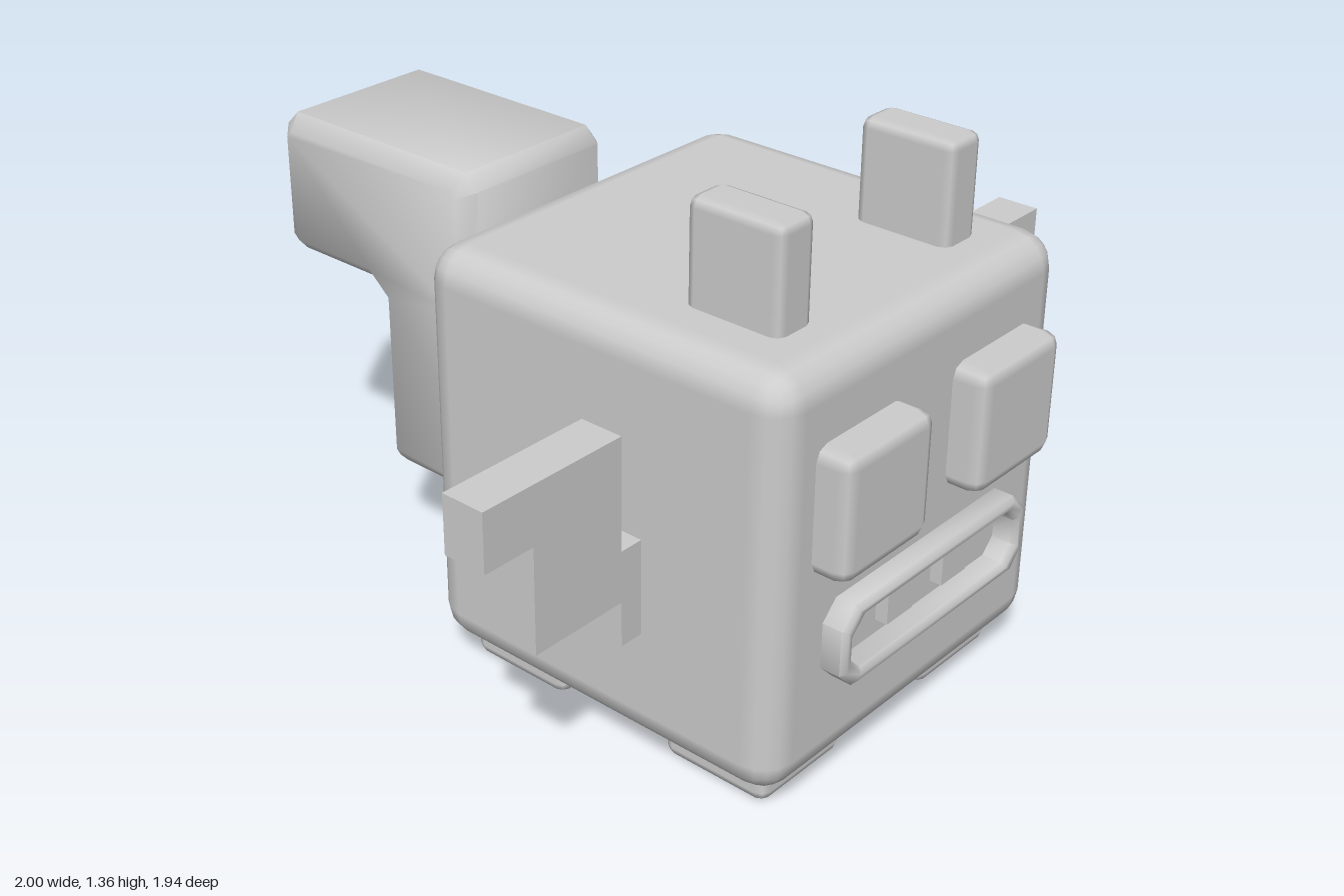
import * as THREE from 'three';
import { toCreasedNormals } from 'three/addons/utils/BufferGeometryUtils.js';
import { RoundedBoxGeometry } from 'three/addons/geometries/RoundedBoxGeometry.js';

const CX = -0.01; // the body sits slightly off the wing centre

export function createModel() {
  const model = new THREE.Group();
  const grey = new THREE.MeshStandardMaterial({ color: 0xcccccc });
  grey.name = 'plain grey';

  const add = (name, geometry, x = 0, y = 0, z = 0) => {
    const mesh = new THREE.Mesh(geometry, grey);
    mesh.name = name;
    mesh.position.set(x, y, z);
    model.add(mesh);
    return mesh;
  };
  const rounded = (w, h, d, r, segments = 1) => new RoundedBoxGeometry(w, h, d, segments, r);
  const toPoints = (list) => list.map(([x, y]) => new THREE.Vector2(x, y));

  // Rounded cube body
  add('body', rounded(1.04, 1.04, 1.04, 0.085, 2), CX, 0.588, 0.363);

  for (const [s, side] of [[1, 'left'], [-1, 'right']]) {
    // Upright ears, raised eyes and four flat feet
    add(side + 'Ear', rounded(0.117, 0.34, 0.255, 0.025), CX + s * 0.3, 1.19, 0.617);
    add(side + 'Eye', rounded(0.31, 0.31, 0.16, 0.035), CX + s * 0.245, 0.77, 0.89);
    add(side + 'FrontFoot', rounded(0.295, 0.08, 0.295, 0.028), CX + s * 0.3, 0.04, 0.667);
    add(side + 'BackFoot', rounded(0.295, 0.08, 0.295, 0.028), CX + s * 0.3, 0.04, 0.057);

    // Square teeth hanging in the mouth
    add(side + 'Tooth', new THREE.BoxGeometry(0.095, 0.1, 0.06), CX + s * 0.105, 0.435, 0.885);

    // Stepped flat wings
    const outline = toPoints([
      [0.48, 0.365], [0.593, 0.365], [0.593, 0.48], [0.86, 0.48], [0.86, 0.747],
      [1, 0.747], [1, 0.893], [0.593, 0.893], [0.593, 0.61], [0.48, 0.61],
    ].map(([x, y]) => [s * x, y]));
    add(side + 'Wing', new THREE.ExtrudeGeometry(new THREE.Shape(outline),
      { depth: 0.113, bevelEnabled: false }), 0, 0, 0.402);
  }

  // Mouth rim: an octagonal ring with softened edges
  const octagon = (w, h, c) => toPoints([
    [w - c, -h], [w, -h + c], [w, h - c], [w - c, h],
    [-w + c, h], [-w, h - c], [-w, -h + c], [-w + c, -h],
  ]);
  const rim = new THREE.Shape(octagon(0.35, 0.103, 0.045));
  rim.holes.push(new THREE.Path(octagon(0.314, 0.068, 0.036).reverse()));
  const rimGeometry = new THREE.ExtrudeGeometry(rim, {
    depth: 0.07, bevelThickness: 0.012, bevelSize: 0.012, bevelOffset: -0.012, bevelSegments: 1,
  });
  add('mouthRim', toCreasedNormals(rimGeometry, 1), CX, 0.417, 0.863);

  // Stepped tail: side profile (z, y) extruded across the width
  const profile = toPoints([
    [-0.1, 0.25], [-0.1, 0.75], [-0.24, 0.75], [-0.283, 0.79], [-0.283, 1.095],
    [-0.323, 1.135], [-0.93, 1.135], [-0.97, 1.095], [-0.97, 0.795], [-0.93, 0.757],
    [-0.66, 0.757], [-0.617, 0.72], [-0.617, 0.285], [-0.58, 0.25],
  ]);
  const tail = new THREE.ExtrudeGeometry(new THREE.Shape(profile), {
    depth: 0.42, bevelThickness: 0.04, bevelSize: 0.04, bevelOffset: -0.04, bevelSegments: 1,
  });
  tail.translate(0, 0, -0.21).rotateY(-Math.PI / 2);
  add('tail', toCreasedNormals(tail, 1), -0.005, 0, 0);

  return model;
}
